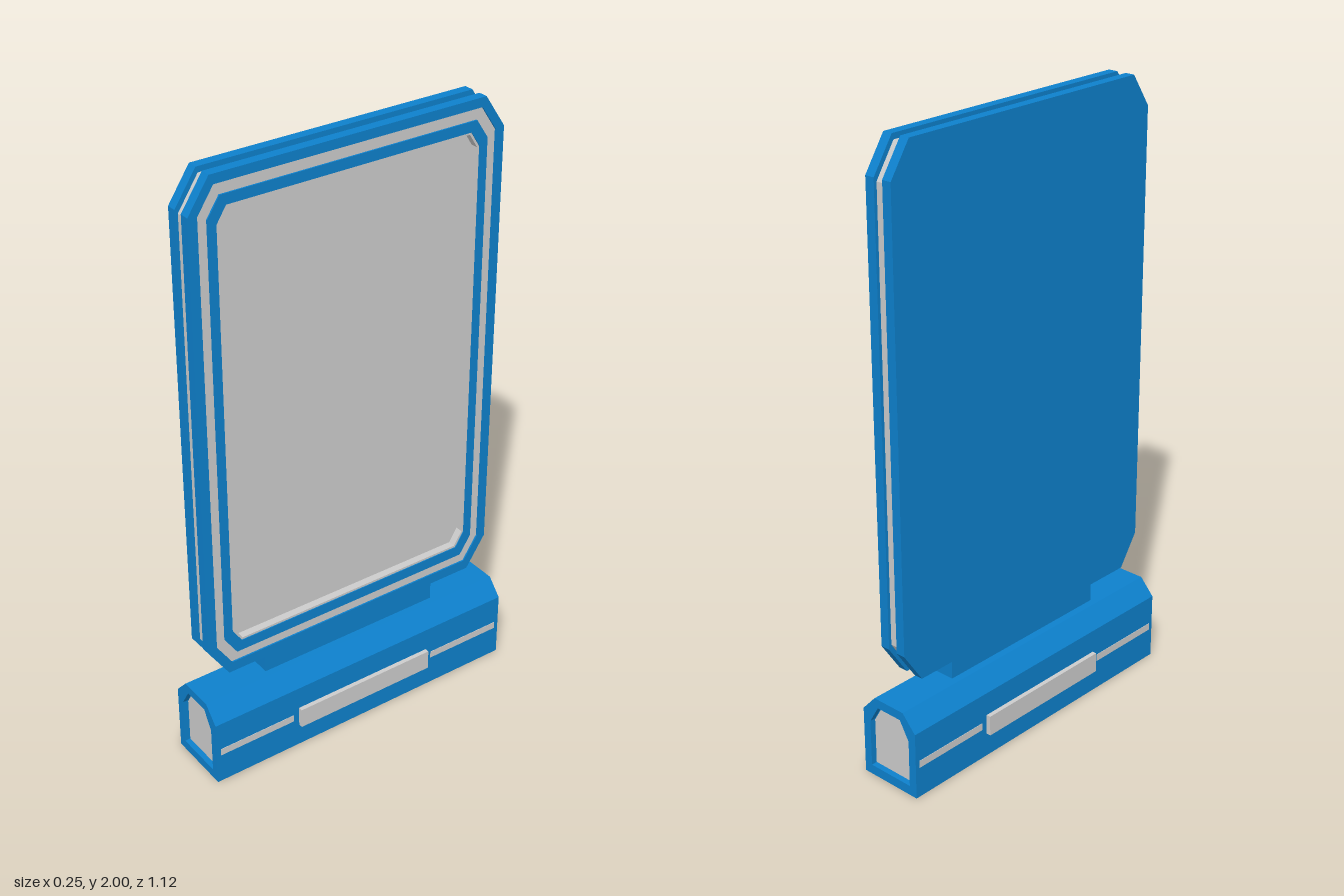
import * as THREE from 'three';

const blue = new THREE.MeshStandardMaterial({ color: 0x0d80cc, flatShading: true });
const grey = new THREE.MeshStandardMaterial({ color: 0xcccccc, flatShading: true });

// Octagon outlines: half width, bottom, top, chamfer across, chamfer up
const OUTER = [0.535, 0.35, 2.0, 0.07, 0.105];
const GROOVE_OUT = [0.505, 0.385, 1.97, 0.053, 0.08];
const GROOVE_IN = [0.475, 0.417, 1.935, 0.041, 0.062];
const OPENING = [0.447, 0.453, 1.902, 0.032, 0.05];
const SCREEN = [0.44, 0.46, 1.895, 0.029, 0.046];
const CORE = [0.525, 0.368, 1.982, 0.066, 0.1];

function octagon([w, b, t, cx, cy]) {
  return [
    [w - cx, b], [w, b + cy], [w, t - cy], [w - cx, t],
    [cx - w, t], [-w, t - cy], [-w, b + cy], [cx - w, b],
  ].map(([x, y]) => new THREE.Vector2(x, y));
}

// House-like section of the base and its end panels
function housing(w, b, t, topW, shoulder) {
  return [[-w, b], [w, b], [w, shoulder], [topW, t], [-topW, t], [-w, shoulder]]
    .map(([x, y]) => new THREE.Vector2(x, y));
}

function extrude(outline, hole, from, to) {
  const shape = new THREE.Shape(outline);
  if (hole) shape.holes.push(new THREE.Path(hole));
  const geo = new THREE.ExtrudeGeometry(shape, { depth: to - from, bevelEnabled: false });
  return geo.translate(0, 0, from);
}

export function createModel() {
  const model = new THREE.Group();
  model.name = 'displayStand';
  const add = (name, geo, mat) => {
    const mesh = new THREE.Mesh(geo, mat);
    mesh.name = name;
    model.add(mesh);
    return mesh;
  };
  const box = (name, mat, w, h, d, x, y, z) =>
    add(name, new THREE.BoxGeometry(w, h, d).translate(x, y, z), mat);
  // Upright slab lying across x, from one x to another
  const slab = (name, mat, outer, inner, from, to) =>
    add(name, extrude(octagon(outer), inner && octagon(inner), from, to).rotateY(Math.PI / 2), mat);

  // Display: back plate, core, and a screen framed by two rims with a groove between
  slab('backPlate', blue, OUTER, null, -0.048, -0.016);
  slab('core', grey, CORE, null, -0.016, 0.016);
  slab('outerRim', blue, OUTER, GROOVE_OUT, 0.016, 0.048);
  slab('grooveStrip', grey, GROOVE_OUT, GROOVE_IN, 0.016, 0.043);
  slab('innerRim', blue, GROOVE_IN, OPENING, 0.016, 0.048);
  slab('screenLiner', grey, OPENING, SCREEN, 0.016, 0.045);
  slab('screen', grey, SCREEN, null, 0.015, 0.02);

  // Neck
  box('neck', blue, 0.07, 0.09, 0.65, 0, 0.32, 0);

  // Base with a recessed panel in each end
  const section = housing(0.11, 0, 0.28, 0.06, 0.225);
  const recess = housing(0.082, 0.032, 0.25, 0.047, 0.19);
  add('base', extrude(section, null, -0.54, 0.54), blue);
  for (const s of [-1, 1]) {
    const [from, to] = s > 0 ? [0.54, 0.56] : [-0.56, -0.54];
    add('endRim', extrude(section, recess, from, to), blue);
    add('endPanel', extrude(housing(0.079, 0.035, 0.247, 0.045, 0.189), null,
      s * 0.541 - 0.002, s * 0.541 + 0.002), grey);
  }

  // Side lamps and the thin strips beside them
  for (const s of [-1, 1]) {
    box('sideLamp', grey, 0.03, 0.068, 0.505, s * 0.11, 0.113, 0);
    for (const e of [-1, 1]) box('sideStrip', grey, 0.006, 0.024, 0.272, s * 0.1085, 0.115, e * 0.409);
  }
  return model;
}
